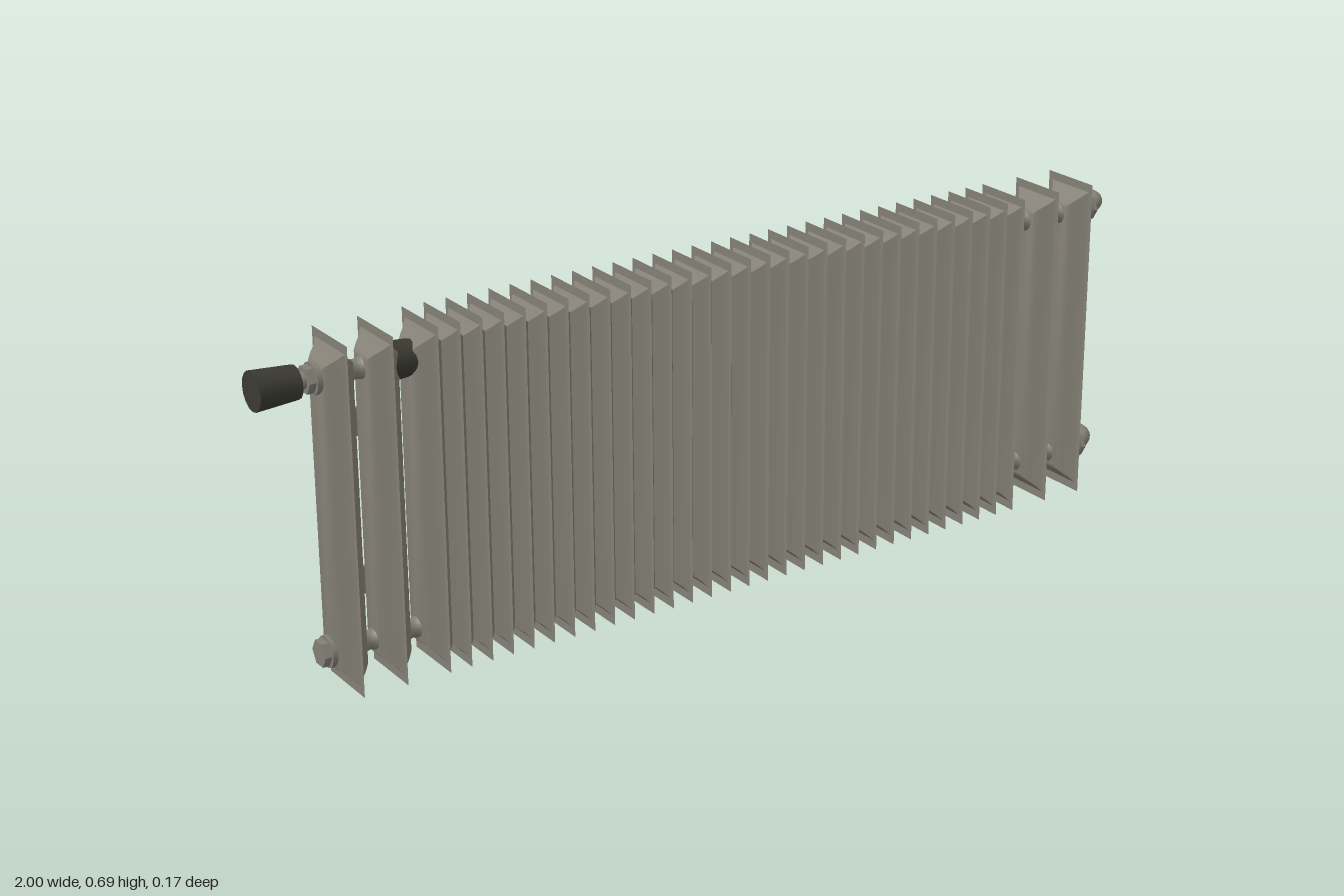
import * as THREE from 'three';
import { toCreasedNormals } from 'three/addons/utils/BufferGeometryUtils.js';

const STEP = 0.0453, X0 = -0.845, CZ = 0.015, CY = 0.3435;
const PIPE_Y = [0.615, 0.078];

// Pillow-shaped section: rectangular rings that shrink as they bulge outwards
function sectionGeometry() {
  const profile = [[0, 0], [0.012, 0.01], [0.022, 0.022], [0.03, 0.03], [0.038, 0.033], [0.057, 0.034]];
  const pos = [];
  const corner = ([inset, x], k, s) => {
    const hz = 0.058 - inset, hy = 0.326 - inset;
    return [s * x, (k < 2 ? -1 : 1) * hy, (k === 0 || k === 3 ? 1 : -1) * hz];
  };
  const quad = (a, b, c, d, flip) => {
    const list = flip ? [a, c, b, a, d, c] : [a, b, c, a, c, d];
    list.forEach((p) => pos.push(...p));
  };
  for (const s of [1, -1]) {
    for (let i = 0; i < profile.length - 1; i++) {
      for (let k = 0; k < 4; k++) {
        const n = (k + 1) % 4;
        quad(corner(profile[i], k, s), corner(profile[i], n, s),
          corner(profile[i + 1], n, s), corner(profile[i + 1], k, s), s < 0);
      }
    }
    const last = profile[profile.length - 1];
    quad(...[0, 1, 2, 3].map((k) => corner(last, k, s)), s < 0);
  }
  const g = new THREE.BufferGeometry();
  g.setAttribute('position', new THREE.Float32BufferAttribute(pos, 3));
  return toCreasedNormals(g, 0.6);
}

export function createModel() {
  const model = new THREE.Group();
  model.name = 'radiator';
  const metal = new THREE.MeshStandardMaterial({ color: 0x827e74 });
  metal.name = 'greyMetal';
  metal.side = THREE.DoubleSide;
  const dark = new THREE.MeshStandardMaterial({ color: 0x3a3a32 });
  dark.name = 'darkPlastic';

  const add = (name, geometry, material, x, y, z) => {
    const mesh = new THREE.Mesh(geometry, material);
    mesh.name = name;
    mesh.position.set(x, y, z);
    model.add(mesh);
    return mesh;
  };
  // Cylinder lying along x, with r1 at the +x end
  const rod = (r0, r1, length, sides) =>
    new THREE.CylinderGeometry(r1, r0, length, sides).rotateZ(-Math.PI / 2);

  // Sections, each with a thin flat flange around its seam
  const body = sectionGeometry();
  const flange = new THREE.PlaneGeometry(0.136, 0.687).rotateY(Math.PI / 2);
  for (let i = 0; i <= 38; i++) {
    if ([1, 3, 35, 37].includes(i)) continue;
    const x = X0 + i * STEP;
    add('section', body, metal, x, CY, CZ);
    add('flange', flange, metal, x, CY, CZ);
  }

  // Header pipes, with flared nipples in the wide gaps
  const nipple = new THREE.LatheGeometry(
    [[0.03, -0.034], [0.029, -0.022], [0.021, -0.013], [0.018, 0], [0.021, 0.013], [0.029, 0.022], [0.03, 0.034]]
      .map(([r, y]) => new THREE.Vector2(r, y)), 20).rotateZ(-Math.PI / 2);
  const header = rod(0.018, 0.018, 1.74, 16);
  for (const y of PIPE_Y) {
    add('headerPipe', header, metal, 0.016, y, CZ);
    for (const i of [1, 3, 35, 37]) add('nipple', nipple, metal, X0 + i * STEP, y, CZ);
  }

  // Outlet elbows that turn to the wall, one pair for each circuit
  const elbowPath = new THREE.CatmullRomCurve3([
    [-0.12, 0.015], [-0.07, 0.015], [-0.045, 0.013], [-0.018, -0.004], [-0.002, -0.028], [0, -0.05], [0, -0.081],
  ].map(([x, z]) => new THREE.Vector3(x, 0, z)));
  const elbow = new THREE.TubeGeometry(elbowPath, 28, 0.015, 14);
  const elbowEnd = new THREE.CircleGeometry(0.015, 14).rotateY(Math.PI);
  for (const x of [0.982, 0.755, 0.525, 0.3]) {
    for (const y of PIPE_Y) {
      add('outletElbow', elbow, metal, x, y, 0);
      add('outletEnd', elbowEnd, metal, x, y, -0.081);
    }
  }

  // Round collars and hexagonal nuts at both ends
  const collar = rod(0.031, 0.031, 0.01, 24);
  const nut = toCreasedNormals(rod(0.027, 0.027, 0.018, 6), 0.5);
  for (const y of PIPE_Y) {
    for (const [x, s] of [[X0, -1], [X0 + 38 * STEP, 1]]) {
      add('collar', collar, metal, x + s * 0.036, y, CZ);
      add('nut', nut, metal, x + s * 0.046, y, CZ);
    }
  }
  add('valveNeck', rod(0.016, 0.016, 0.04, 16), metal, -0.905, PIPE_Y[0], CZ);

  // Thermostat heads, one for each circuit
  const head = toCreasedNormals(rod(0.038, 0.032, 0.085, 16), 0.6);
  for (const x of [-0.9575, -0.7]) add('thermostat', head, dark, x, PIPE_Y[0], CZ);

  // Wall brackets with a clip plate across two sections and a stub to the wall
  const clip = new THREE.BoxGeometry(0.05, 0.055, 0.008);
  const stub = new THREE.BoxGeometry(0.018, 0.012, 0.05);
  for (const x of [-0.8, -0.575, -0.355, -0.12, 0.15, 0.373, 0.603, 0.832]) {
    for (const y of [0.5, 0.185]) {
      add('bracketClip', clip, metal, x, y, -0.02);
      add('bracketStub', stub, metal, x, y, -0.058);
    }
  }
  return model;
}
